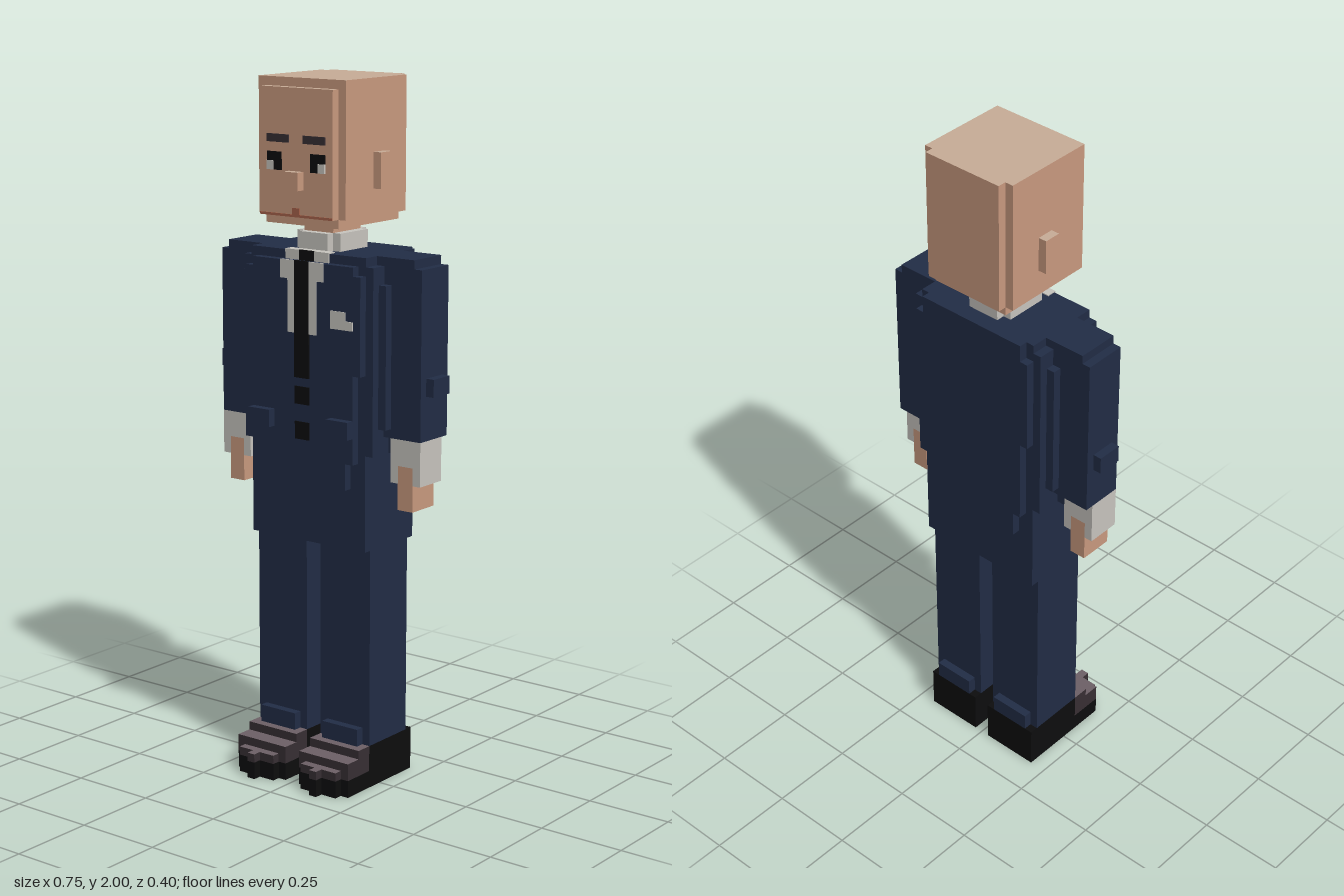
import * as THREE from 'three';

const mat = (name, color) => Object.assign(new THREE.MeshStandardMaterial({ color }), { name });

export function createModel() {
  const skin = mat('skin', 0xcb9b80), scalp = mat('scalp', 0xc9ae98), shade = mat('skinShade', 0xa8634b);
  const suit = mat('suit', 0x222d46), white = mat('shirtWhite', 0xc9c6c0), black = mat('black', 0x0d0d0e);
  const shoe = mat('shoeLeather', 0x382f34), shoeTop = mat('shoeTop', 0x6e6167);
  const model = new THREE.Group();
  model.name = 'suitedFigure';

  // block from min/max bounds, with optional different top and bottom colours
  function block(name, x0, x1, y0, y1, z0, z1, m, top = m, bottom = m) {
    const g = new THREE.BoxGeometry(x1 - x0, y1 - y0, z1 - z0);
    const mesh = new THREE.Mesh(g, top === m && bottom === m ? m : [m, m, top, bottom, m, m]);
    mesh.position.set((x0 + x1) / 2, (y0 + y1) / 2, (z0 + z1) / 2);
    mesh.name = name;
    model.add(mesh);
  }
  // block centred on x
  const mid = (name, w, ...rest) => block(name, -w, w, ...rest);
  // mirrored pair of blocks
  function pair(name, x0, x1, ...rest) {
    block(name + 'Left', x0, x1, ...rest);
    block(name + 'Right', -x1, -x0, ...rest);
  }
  // thin painted plate on a front face at depth z
  const plate = (name, x0, x1, y0, y1, z, m) => block(name, x0, x1, y0, y1, z - 0.002, z + 0.003, m);
  const platePair = (name, x0, x1, y0, y1, z, m) => {
    plate(name + 'Left', x0, x1, y0, y1, z, m);
    plate(name + 'Right', -x1, -x0, y0, y1, z, m);
  };

  // head with stepped edges
  mid('head', 0.15, 1.625, 2, -0.175, 0.1, skin, scalp, shade);
  mid('face', 0.125, 1.625, 1.975, 0.1, 0.125, skin, scalp, shade);
  mid('headBack', 0.125, 1.625, 2, -0.2, -0.175, skin, scalp, shade);
  mid('jaw', 0.125, 1.6, 1.625, -0.175, 0.1, skin, skin, shade);
  mid('nose', 0.025, 1.7, 1.75, 0.125, 0.15, skin, scalp, shade);
  pair('ear', 0.15, 0.175, 1.7, 1.8, -0.075, -0.025, skin, scalp, shade);

  // painted face
  platePair('brow', 0.025, 0.1, 1.826, 1.848, 0.125, shoe);
  platePair('eye', 0.05, 0.1, 1.75, 1.8, 0.125, black);
  platePair('eyeWhite', 0.077, 0.1, 1.75, 1.775, 0.127, white);
  plate('mouth', -0.0125, 0.0125, 1.632, 1.65, 0.125, shade);
  plate('chinLine', -0.125, 0.125, 1.625, 1.632, 0.125, shade);

  // neck and collar
  mid('neck', 0.05, 1.55, 1.6, -0.1, 0.025, skin);
  mid('collar', 0.05, 1.525, 1.575, -0.125, 0.05, white);
  mid('collarSides', 0.075, 1.525, 1.575, -0.1, 0.025, white);

  // jacket: core, raised front and back panels, rounded flanks
  mid('jacketCore', 0.2, 0.9, 1.525, -0.15, 0.075, suit);
  mid('jacketTopBack', 0.175, 1.5, 1.525, -0.175, -0.15, suit);
  for (const [name, z0, z1] of [['Back', -0.175, -0.15], ['Front', 0.075, 0.1]]) {
    mid('jacketPanel' + name, 0.175, 0.95, 1.5, z0, z1, suit);
    mid('jacketChest' + name, 0.2, 1.2, 1.475, z0, z1, suit);
    mid('jacketHem' + name, 0.15, 0.875, 0.95, z0, z1, suit);
  }
  pair('flank', 0.2, 0.225, 0.975, 1.5, -0.15, 0.075, suit);
  pair('flankOuter', 0.225, 0.25, 1.05, 1.45, -0.125, 0.05, suit);
  pair('pocketFlap', 0.1, 0.175, 1.025, 1.075, 0.1, 0.125, suit);

  // shirt front, tie, buttons, handkerchief
  mid('shirtStep', 0.076, 1.498, 1.528, 0.05, 0.079, white);
  plate('shirt', -0.05, 0.05, 1.3, 1.502, 0.1, white);
  plate('shirtUpper', -0.075, 0.075, 1.45, 1.502, 0.1, white);
  plate('tie', -0.025, 0.025, 1.175, 1.503, 0.102, black);
  plate('tieKnot', -0.025, 0.025, 1.5, 1.529, 0.079, black);
  for (const y of [1.1, 1]) plate('button', -0.025, 0.025, y, y + 0.05, 0.1, black);
  plate('handkerchief', 0.1, 0.15, 1.35, 1.375, 0.1, white);
  plate('handkerchiefLower', 0.1, 0.175, 1.325, 1.35, 0.1, white);

  // arms and hands
  pair('shoulder', 0.2, 0.325, 1.5, 1.525, -0.1, 0.025, suit);
  pair('sleeve', 0.225, 0.35, 1.025, 1.5, -0.1, 0.025, suit);
  pair('sleeveInner', 0.2, 0.25, 0.975, 1.025, -0.075, 0, suit);
  pair('elbow', 0.35, 0.375, 1.15, 1.2, -0.075, 0, suit);
  pair('cuff', 0.25, 0.35, 0.95, 1.025, -0.075, 0.025, white);
  pair('cuffInner', 0.25, 0.275, 0.9, 0.95, -0.075, 0.025, white);
  pair('cuffOuter', 0.325, 0.35, 0.9, 0.95, -0.075, 0.025, white);
  pair('hand', 0.275, 0.325, 0.825, 0.95, -0.075, 0.025, skin, skin, shade);

  // trousers
  mid('hips', 0.2, 0.7, 0.9, -0.15, 0.075, suit);
  pair('leg', 0.025, 0.2, 0.125, 0.7, -0.125, 0.05, suit);
  pair('trouserHem', 0.05, 0.175, 0.125, 0.175, -0.15, 0.075, suit);

  // shoes: black heel and sole under stepped leather toes
  pair('heel', 0.025, 0.2, 0, 0.125, -0.15, 0.05, black);
  pair('sole', 0.025, 0.2, 0, 0.05, 0.05, 0.15, black);
  pair('soleToe', 0.05, 0.175, 0, 0.05, 0.15, 0.175, black);
  pair('soleTip', 0.1, 0.125, 0, 0.05, 0.175, 0.2, black);
  pair('shoeInstep', 0.025, 0.2, 0.05, 0.125, 0.05, 0.1, shoe, shoeTop);
  pair('shoeVamp', 0.025, 0.2, 0.05, 0.1, 0.1, 0.15, shoe, shoeTop);
  pair('shoeToe', 0.05, 0.175, 0.05, 0.075, 0.15, 0.175, shoe, shoeTop);
  pair('shoeTip', 0.1, 0.125, 0.05, 0.075, 0.175, 0.2, shoe, shoeTop);

  return model;
}
